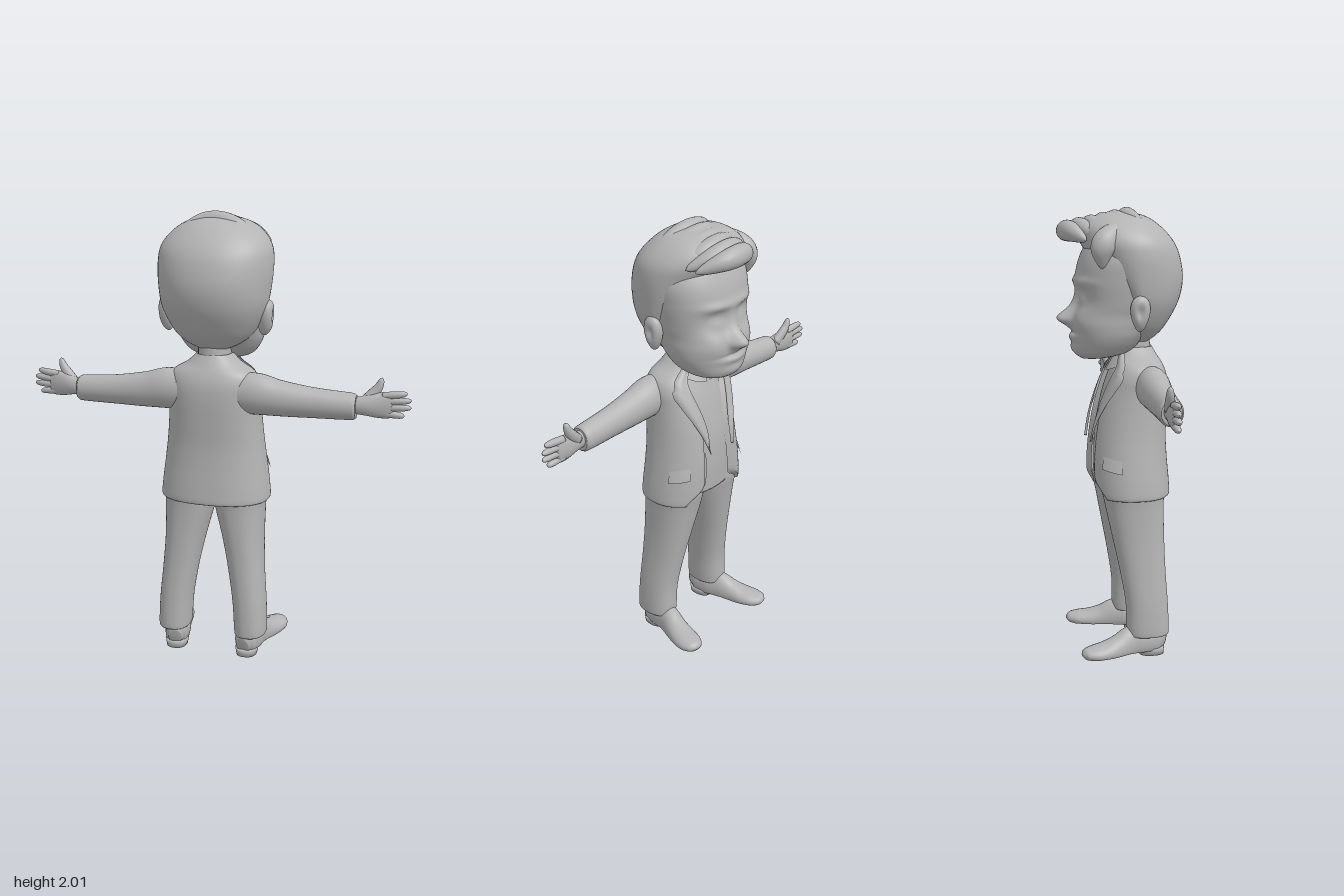
import * as THREE from 'three';

const V = (x, y, z) => new THREE.Vector3(x, y, z);
const clay = new THREE.MeshStandardMaterial({ color: 0xb4b4b4, side: THREE.DoubleSide });
clay.name = 'plain grey';

// Smooth surface through a grid of points: i runs along the part, j around it
function grid(fn, ni, nj, caps = false) {
  const pos = [], idx = [], row = nj + 1;
  for (let i = 0; i <= ni; i++) for (let j = 0; j <= nj; j++) pos.push(...fn(i / ni, j / nj).toArray());
  for (let i = 0; i < ni; i++) for (let j = 0; j < nj; j++) {
    const a = i * row + j, c = a + row;
    idx.push(a, a + 1, c, a + 1, c + 1, c);
  }
  if (caps) for (const i of [0, ni]) {
    const mid = V(0, 0, 0), base = pos.length / 3;
    for (let j = 0; j < nj; j++) mid.add(V(...pos.slice((i * row + j) * 3, (i * row + j) * 3 + 3)));
    pos.push(...mid.divideScalar(nj).toArray());
    for (let j = 0; j < nj; j++) {
      const a = i * row + j;
      if (i) idx.push(base, a, a + 1); else idx.push(base, a + 1, a);
    }
  }
  const g = new THREE.BufferGeometry();
  g.setAttribute('position', new THREE.Float32BufferAttribute(pos, 3));
  g.setIndex(idx);
  return finish(g);
}

// Normals, welded across the seam where first and last columns meet
function finish(g) {
  g.computeVertexNormals();
  const p = g.attributes.position, n = g.attributes.normal, seen = new Map();
  for (let i = 0; i < p.count; i++) {
    const key = [p.getX(i), p.getY(i), p.getZ(i)].map(v => Math.round(v * 1e4)).join();
    if (!seen.has(key)) seen.set(key, []);
    seen.get(key).push(i);
  }
  for (const list of seen.values()) if (list.length > 1) {
    const s = V(0, 0, 0);
    list.forEach(i => s.add(V(n.getX(i), n.getY(i), n.getZ(i))));
    s.normalize();
    list.forEach(i => n.setXYZ(i, s.x, s.y, s.z));
  }
  return g;
}

// Move every vertex by a rule
function reshape(g, rule) {
  const p = g.attributes.position;
  for (let i = 0; i < p.count; i++) p.setXYZ(i, ...rule(V(p.getX(i), p.getY(i), p.getZ(i))).toArray());
  return finish(g);
}

function mirrored(g) {
  const m = g.clone().scale(-1, 1, 1), a = m.index.array;
  for (let i = 0; i < a.length; i += 3) [a[i], a[i + 1]] = [a[i + 1], a[i]];
  return finish(m);
}

// Rows are [y, half width, front z, back z, widest z, centre x], going up
function rowAt(rows, k) {
  const i = Math.min(Math.floor(k), rows.length - 2), t = k - i;
  const r = n => rows[Math.max(0, Math.min(rows.length - 1, n))];
  return rows[0].map((_, c) => {
    const p0 = r(i - 1)[c], p1 = r(i)[c], p2 = r(i + 1)[c], p3 = r(i + 2)[c];
    return p1 + 0.5 * t * (p2 - p0 + t * (2 * p0 - 5 * p1 + 4 * p2 - p3 + t * (3 * (p1 - p2) + p3 - p0)));
  });
}
function ringPoint([y, rx, zf, zb, cz, cx = 0], a, power = 2.2, off = 0) {
  const s = Math.sin(a), c = Math.cos(a), e = 2 / power;
  const depth = c > 0 ? cz - zf : zb - cz;
  return V(cx - Math.sign(s) * Math.abs(s) ** e * (rx + off), y, cz - Math.sign(c) * Math.abs(c) ** e * (depth + off));
}
const loft = (rows, power, ni = 40, nj = 48, caps = true) => grid(
  (u, v) => ringPoint(rowAt(rows, u * (rows.length - 1)), v * Math.PI * 2, power), ni, nj, caps);

// Elliptical tube; points are [x, y, z, radius along ref, other radius]
function sweep(points, ref, taper = () => 1, ni = 28, nj = 20) {
  const curve = new THREE.CatmullRomCurve3(points.map(p => V(p[0], p[1], p[2])));
  return grid((u, v) => {
    const k = u * (points.length - 1), r = rowAt(points, k), T = curve.getTangent(u);
    const U = ref.clone().addScaledVector(T, -ref.dot(T)).normalize(), W = T.clone().cross(U);
    const a = v * Math.PI * 2, f = taper(u);
    return curve.getPoint(u).addScaledVector(U, Math.cos(a) * r[3] * f).addScaledVector(W, Math.sin(a) * r[4] * f);
  }, ni, nj, true);
}

export function createModel() {
  const model = new THREE.Group();
  const add = (name, g) => {
    const m = new THREE.Mesh(g, clay);
    m.name = name;
    model.add(m);
  };
  const pair = (name, g) => { add(name + 'Left', g); add(name + 'Right', mirrored(g)); };

  // Head with sculpted face: [x, y, push forward, spread x, spread y]
  const bumps = [[0, 1.53, 0.056, 0.024, 0.026], [0, 1.58, 0.02, 0.02, 0.05], [0, 1.447, 0.014, 0.05, 0.013],
    [0, 1.467, -0.008, 0.06, 0.007], [0, 1.395, 0.01, 0.04, 0.02]];
  for (const s of [-1, 1]) bumps.push([s * 0.08, 1.625, -0.028, 0.045, 0.035], [s * 0.08, 1.615, 0.015, 0.028, 0.02],
    [s * 0.085, 1.69, 0.014, 0.055, 0.014], [s * 0.11, 1.52, 0.016, 0.05, 0.04], [s * 0.026, 1.522, 0.016, 0.012, 0.013]);
  const head = loft([[1.35, 0.05, -0.175, -0.07, -0.12], [1.37, 0.12, -0.2, 0.01, -0.1], [1.4, 0.157, -0.212, 0.06, -0.07],
    [1.45, 0.186, -0.214, 0.1, -0.05], [1.5, 0.198, -0.213, 0.14, -0.04], [1.55, 0.203, -0.211, 0.18, -0.02],
    [1.6, 0.214, -0.207, 0.2, 0], [1.7, 0.228, -0.2, 0.22, 0], [1.8, 0.228, -0.175, 0.22, 0.01],
    [1.9, 0.17, -0.12, 0.17, 0.02], [1.95, 0.08, -0.05, 0.1, 0.03]], 2.25, 100, 128);
  add('head', reshape(head, p => {
    const w = THREE.MathUtils.smoothstep(-p.z, 0.05, 0.15);
    for (const [x, y, d, sx, sy] of bumps) p.z -= w * d * Math.exp(-(((p.x - x) / sx) ** 2 + ((p.y - y) / sy) ** 2) / 2);
    return p;
  }));
  const ear = reshape(new THREE.SphereGeometry(1, 28, 20), p => {
    const dish = 0.5 * Math.exp(-((p.y - 0.1) ** 2 + (p.z + 0.1) ** 2) / 0.12) * (p.x > 0 ? 1 : 0);
    return V(0.228 + (p.x - dish) * 0.036 + p.y * 0.008, 1.562 + p.y * 0.078, 0.045 + p.z * (0.042 + p.y * 0.012));
  });
  pair('ear', ear);
  add('neck', loft([[1.3, 0.085, -0.02, 0.14, 0.06], [1.38, 0.075, -0.015, 0.138, 0.06], [1.48, 0.078, -0.03, 0.13, 0.05]], 2, 10, 32));

  // Hair cap, swept-over strands and the side tuft
  add('hairCap', loft([[1.42, 0.06, 0.04, 0.12, 0.08], [1.45, 0.125, 0.02, 0.16, 0.07], [1.5, 0.182, 0.01, 0.203, 0.06],
    [1.6, 0.232, -0.02, 0.257, 0.06], [1.7, 0.25, -0.09, 0.278, 0.05], [1.8, 0.255, -0.14, 0.263, 0.04],
    [1.87, 0.242, -0.18, 0.23, 0.03], [1.93, 0.195, -0.175, 0.175, 0.01], [1.97, 0.13, -0.12, 0.115, 0],
    [1.992, 0.04, -0.05, 0.04, -0.01]], 2.1, 50, 56));
  const round = u => Math.sqrt(Math.max(0.002, Math.sin(Math.PI * u)));
  for (let k = 0; k < 6; k++) add('hairStrand', sweep([
    [-0.12 - 0.008 * k, 1.87 + 0.012 * k, -0.17 + 0.05 * k, 0.04, 0.035],
    [-0.04, 1.905 + 0.012 * k, -0.22 + 0.05 * k, 0.046, 0.042],
    [0.08, 1.905 + 0.009 * k, -0.228 + 0.054 * k, 0.046, 0.045],
    [0.195 + 0.004 * k, 1.865 + 0.003 * k, -0.16 + 0.048 * k, 0.04, 0.035]], V(0, 1, 0), round));
  add('hairTuft', sweep([[-0.19, 1.75, -0.11, 0.03, 0.04], [-0.195, 1.84, -0.11, 0.045, 0.06],
    [-0.16, 1.9, -0.06, 0.045, 0.05], [-0.11, 1.94, 0.02, 0.03, 0.04]], V(1, 0, 0), round));

  // Shirt and its collar
  add('shirt', loft([[0.77, 0.19, -0.112, 0.16, 0.03], [0.9, 0.185, -0.118, 0.16, 0.03], [1.05, 0.175, -0.11, 0.16, 0.04],
    [1.2, 0.165, -0.078, 0.16, 0.05], [1.3, 0.13, -0.045, 0.15, 0.06], [1.37, 0.08, -0.02, 0.14, 0.06]], 2.2));
  const collar = grid((u, v) => {
    const a = v * Math.PI, front = Math.cos(a) * 0.5 + 0.5;
    return V(Math.sin(a) * (0.083 + 0.03 * (1 - u)) + 0.008 * front,
      1.4 - 0.02 * front - (1 - u) * (0.035 + 0.05 * front ** 3), 0.06 - Math.cos(a) * (0.083 + (1 - u) * (0.02 + 0.025 * front)));
  }, 6, 24);
  pair('collar', collar);

  // Open jacket, with lapels and pocket flaps laid on its surface
  const coat = [[0.745, 0.225, -0.12, 0.195, 0.04], [0.738, 0.248, -0.143, 0.218, 0.04], [0.8, 0.245, -0.15, 0.216, 0.04],
    [0.9, 0.232, -0.15, 0.207, 0.04], [1.0, 0.219, -0.141, 0.202, 0.045], [1.1, 0.21, -0.125, 0.206, 0.05],
    [1.2, 0.205, -0.1, 0.21, 0.06], [1.27, 0.205, -0.075, 0.205, 0.07], [1.32, 0.185, -0.05, 0.188, 0.08],
    [1.36, 0.12, -0.032, 0.165, 0.07], [1.4, 0.078, -0.02, 0.142, 0.06]];
  const gap = y => 0.3 + 0.28 * THREE.MathUtils.smoothstep(y, 1.05, 1.36) + 0.4 * THREE.MathUtils.smoothstep(-y, -0.83, -0.73);
  add('jacket', grid((u, v) => {
    const r = rowAt(coat, u * (coat.length - 1)), g = gap(r[0]);
    const a = g + v * (Math.PI * 2 - 2 * g), edge = Math.min(v, 1 - v);
    return ringPoint(r, a, 2.3, edge < 0.01 ? -0.025 : 0);
  }, 60, 104));
  const onCoat = (y, a, off) => {
    let i = 1;
    while (i < coat.length - 2 && coat[i + 1][0] < y) i++;
    return ringPoint(rowAt(coat, i + (y - coat[i][0]) / (coat[i + 1][0] - coat[i][0])), -a, 2.3, off);
  };
  pair('lapel', grid((u, v) => {
    const y = 0.98 + 0.4 * u, w = 0.5 * Math.min(1, u * 1.5) * (u > 0.75 ? 0.8 : 1);
    return onCoat(y, gap(y) - 0.03 + w * (1 - v), 0.004 + 0.012 * Math.sin(Math.PI * Math.min(1, v + 0.15)));
  }, 32, 10));
  pair('pocketFlap', grid((u, v) => onCoat(0.86 + 0.055 * u + 0.015 * v, 1.25 - 0.5 * v, 0.009 * (1 - u) + 0.002), 4, 10));

  // Sleeves and hands
  pair('sleeve', sweep([[0.1, 1.235, 0.11, 0.085, 0.07], [0.2, 1.235, 0.108, 0.092, 0.076], [0.3, 1.222, 0.105, 0.08, 0.069],
    [0.45, 1.21, 0.098, 0.067, 0.059], [0.63, 1.203, 0.088, 0.058, 0.052], [0.642, 1.203, 0.088, 0.05, 0.044]], V(0, 1, 0), undefined, 40, 32));
  pair('palm', sweep([[0.61, 1.207, 0.085, 0.034, 0.03], [0.67, 1.209, 0.083, 0.042, 0.03], [0.73, 1.212, 0.074, 0.055, 0.026],
    [0.785, 1.213, 0.068, 0.054, 0.018], [0.8, 1.213, 0.067, 0.03, 0.008]], V(0, 1, 0)));
  const fingers = [[0.77, 1.255, 0.85, 1.268, 0.062], [0.77, 1.23, 0.868, 1.238, 0.06], [0.77, 1.204, 0.868, 1.207, 0.062],
    [0.77, 1.178, 0.84, 1.17, 0.067]];
  for (const [x0, y0, x1, y1, z] of fingers) pair('finger', sweep([[x0 - 0.02, y0, 0.07, 0.016, 0.017],
    [(x0 + x1) / 2, (y0 + y1) / 2, 0.068, 0.0155, 0.016], [x1 + 0.006, y1, z, 0.013, 0.013]], V(0, 1, 0),
  u => Math.sqrt(Math.max(0.001, 1 - u ** 8)), 16, 14));
  pair('thumb', sweep([[0.67, 1.22, 0.075, 0.026, 0.024], [0.71, 1.262, 0.063, 0.024, 0.021], [0.733, 1.295, 0.058, 0.018, 0.017],
    [0.744, 1.33, 0.056, 0.014, 0.014]], V(1, 0, 0), u => Math.sqrt(Math.max(0.001, 1 - u ** 8)), 18, 14));

  // Trouser legs
  pair('trouserLeg', loft([[0.115, 0.06, 0.015, 0.17, 0.095, 0.182], [0.1, 0.069, 0.002, 0.186, 0.095, 0.182],
    [0.13, 0.073, -0.004, 0.19, 0.095, 0.182], [0.25, 0.075, -0.006, 0.186, 0.09, 0.175], [0.4, 0.08, -0.03, 0.178, 0.08, 0.157],
    [0.55, 0.092, -0.06, 0.175, 0.06, 0.137], [0.7, 0.112, -0.09, 0.175, 0.05, 0.118], [0.78, 0.118, -0.105, 0.18, 0.04, 0.115],
    [0.88, 0.11, -0.1, 0.17, 0.04, 0.1]], 2.3));

  // Shoes, turned out, flat underneath, on a low heel
  const shoe = sweep([[0.163, 0.055, 0.17, 0.04, 0.03], [0.168, 0.065, 0.14, 0.075, 0.05], [0.178, 0.065, 0.07, 0.085, 0.056],
    [0.19, 0.06, 0.01, 0.08, 0.052], [0.208, 0.048, -0.05, 0.06, 0.055], [0.225, 0.042, -0.11, 0.044, 0.061],
    [0.24, 0.042, -0.165, 0.034, 0.058], [0.25, 0.044, -0.205, 0.022, 0.038], [0.253, 0.044, -0.217, 0.008, 0.016]],
  V(0, 1, 0), undefined, 44, 32);
  pair('shoe', reshape(shoe, p => V(p.x, Math.max(p.y, 0.024), p.z)));
  pair('heel', loft([[0, 0.046, 0.055, 0.17, 0.115, 0.17], [0.035, 0.052, 0.045, 0.172, 0.115, 0.17]], 2.4, 2, 28));
  return model;
}
